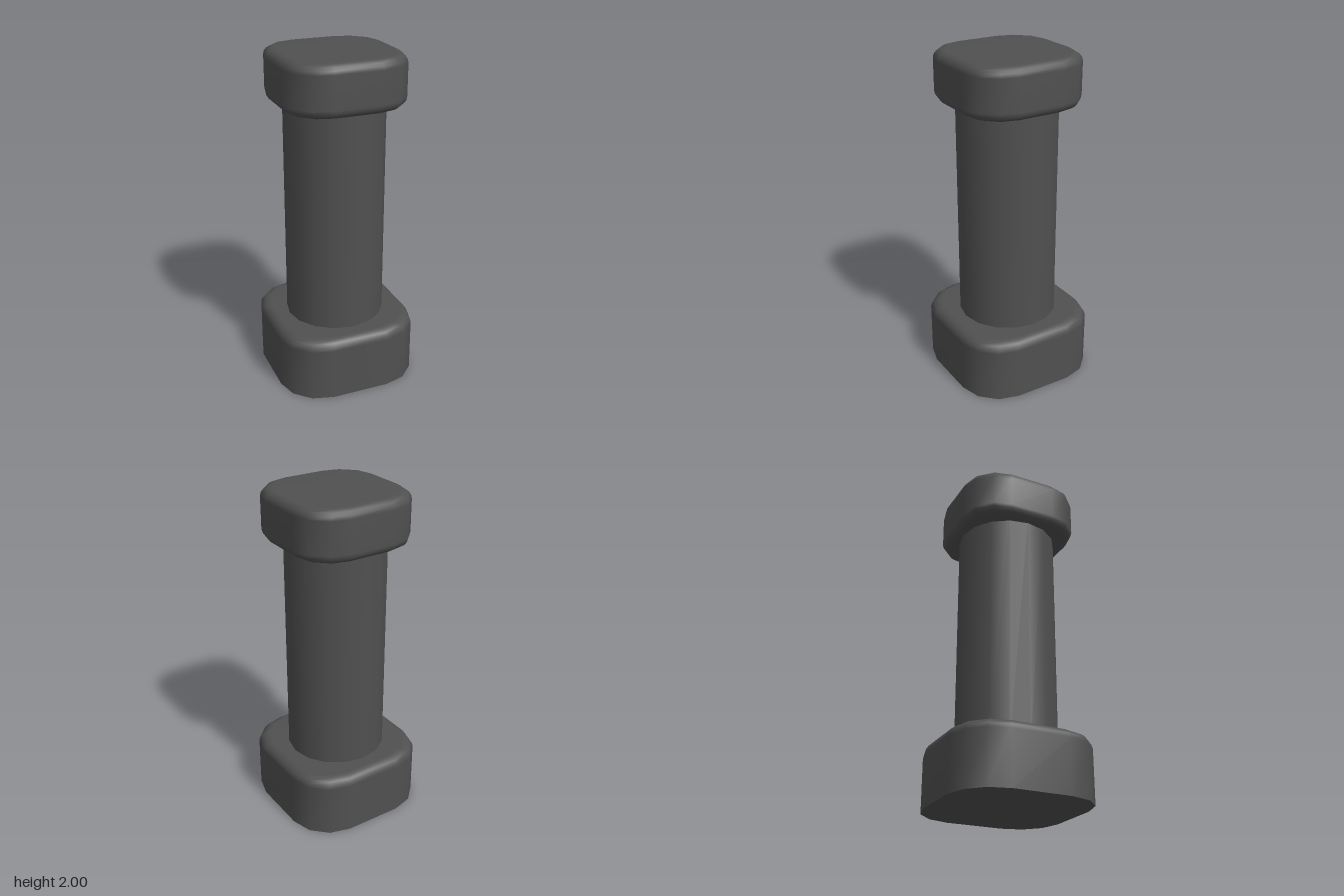
import * as THREE from 'three';

const material = new THREE.MeshStandardMaterial({ color: 0x505050 });

// Stacks rounded-square rings [inset, y] and closes both ends.
// corner: four [x, z] points of one quadrant, turned four times.
function roundedBlock(corner, rings, sharpBottom) {
  const outline = [];
  for (let q = 0, pts = corner; q < 4; q++) {
    outline.push(...pts);
    pts = pts.map(([x, z]) => [-z, x]);
  }
  const n = outline.length, half = corner[0][0];
  const pos = [], idx = [];
  const addRing = ([inset, y]) => {
    const s = 1 - inset / half, start = pos.length / 3;
    for (const [x, z] of outline) pos.push(x * s, y, z * s);
    return start;
  };
  const starts = rings.map(addRing);
  for (let r = 0; r < starts.length - 1; r++) {
    for (let i = 0; i < n; i++) {
      const j = (i + 1) % n, a = starts[r], b = starts[r + 1];
      idx.push(a + i, b + i, a + j, a + j, b + i, b + j);
    }
  }
  // End faces; a separate ring keeps the bottom edge hard
  const bottom = sharpBottom ? addRing(rings[0]) : starts[0];
  const top = starts[starts.length - 1];
  const centre = pos.length / 3;
  pos.push(0, rings[0][1], 0, 0, rings[rings.length - 1][1], 0);
  for (let i = 0; i < n; i++) {
    const j = (i + 1) % n;
    idx.push(centre, bottom + i, bottom + j, centre + 1, top + j, top + i);
  }
  const geo = new THREE.BufferGeometry();
  geo.setAttribute('position', new THREE.Float32BufferAttribute(pos, 3));
  geo.setIndex(idx);
  geo.computeVertexNormals();
  return geo;
}

// Quarter-round edge rising to height y
function topBevel(y, r, steps = 4) {
  return Array.from({ length: steps + 1 }, (_, i) => {
    const t = (i / steps) * Math.PI / 2;
    return [r * (1 - Math.cos(t)), y - r * (1 - Math.sin(t))];
  });
}

export function createModel() {
  const group = new THREE.Group();
  const add = (name, geo) => {
    const mesh = new THREE.Mesh(geo, material);
    mesh.name = name;
    group.add(mesh);
    return mesh;
  };

  // Base: flat hard bottom, rounded upper edge
  add('base', roundedBlock(
    [[0.425, 0.175], [0.39, 0.3], [0.3, 0.39], [0.175, 0.425]],
    [[0, 0], ...topBevel(0.38, 0.06)], true));

  // Round shaft, sunk into the base and the cap
  add('shaft', new THREE.CylinderGeometry(0.298, 0.298, 1.45, 16)).position.y = 1.025;

  // Cap: rounded on both its upper and lower edges
  const upper = topBevel(2, 0.055);
  const lower = upper.map(([inset, y]) => [inset, 3.7 - y]).reverse();
  add('cap', roundedBlock(
    [[0.363, 0.14], [0.335, 0.25], [0.25, 0.335], [0.14, 0.363]],
    [...lower, ...upper], false));

  return group;
}
